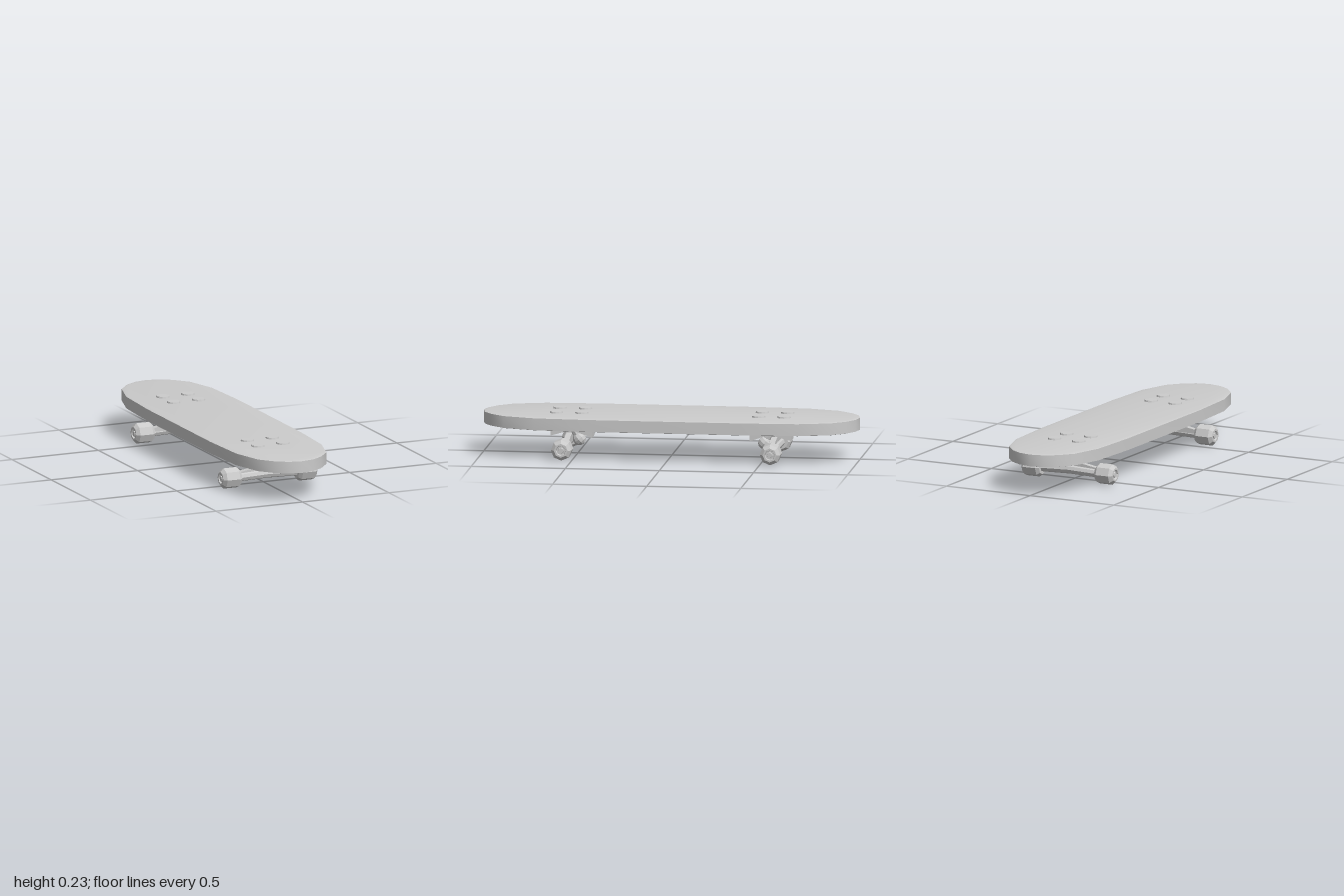
import * as THREE from 'three';
import { toCreasedNormals } from 'three/addons/utils/BufferGeometryUtils.js';

const smooth = new THREE.MeshStandardMaterial({ color: 0xcccccc });
const flat = new THREE.MeshStandardMaterial({ color: 0xcccccc, flatShading: true });

function add(parent, name, geometry, material = flat) {
  const mesh = new THREE.Mesh(geometry, material);
  mesh.name = name;
  parent.add(mesh);
  return mesh;
}

const polygon = (points) => new THREE.Shape(points.map(([x, y]) => new THREE.Vector2(x, y)));

// Flat board with rounded ends and a shallow bevel on both rims
function deckGeometry() {
  const quarter = [[0.262, 0.4], [0.247, 0.7], [0.197, 0.87], [0.133, 0.945], [0.07, 0.985]];
  const back = quarter.slice().reverse();
  const outline = [
    ...quarter, [0, 1],
    ...back.map(([x, z]) => [-x, z]),
    ...quarter.map(([x, z]) => [-x, -z]), [0, -1],
    ...back.map(([x, z]) => [x, -z]),
  ];
  const geo = new THREE.ExtrudeGeometry(polygon(outline), {
    depth: 0.063, bevelEnabled: true, bevelThickness: 0.003,
    bevelSize: 0.012, bevelOffset: -0.012, bevelSegments: 1,
  });
  geo.rotateX(Math.PI / 2).translate(0, 0.221, 0);
  return toCreasedNormals(geo, 0.6);
}

// Octagonal wheel with bevelled rims and a recessed hub, axis along x
function wheelGeometry() {
  const profile = [
    [0, -0.054], [0.041, -0.054], [0.055, -0.037], [0.055, 0.037],
    [0.037, 0.054], [0.027, 0.054], [0.024, 0.044], [0.016, 0.044], [0.014, 0.053], [0, 0.053],
  ].map(([r, x]) => new THREE.Vector2(r, x));
  return new THREE.LatheGeometry(profile, 8).rotateZ(-Math.PI / 2);
}

// Axle with eight sides that arches up and thickens in the middle
function axleGeometry() {
  const geo = new THREE.CylinderGeometry(0.023, 0.023, 0.34, 8, 2).rotateZ(Math.PI / 2);
  const p = geo.attributes.position;
  for (let i = 0; i < p.count; i++) {
    const middle = 1 - Math.abs(p.getX(i)) / 0.17;
    p.setY(i, p.getY(i) * (1 + 0.07 * middle) + 0.053 + 0.006 * middle);
  }
  return geo;
}

// Truck built around z = 0, with its inner side facing -z
function createTruck() {
  const truck = new THREE.Group();

  add(truck, 'basePlate', new THREE.BoxGeometry(0.262, 0.022, 0.26)).position.set(0, 0.147, -0.03);

  // Notched block under the plate
  const block = new THREE.ExtrudeGeometry(
    polygon([[-0.085, 0.14], [-0.085, 0.097], [0.025, 0.13], [0.137, 0.09], [0.137, 0.14]]),
    { depth: 0.102, bevelEnabled: false });
  block.rotateY(Math.PI / 2).translate(-0.051, 0, 0);
  add(truck, 'mountBlock', block);

  // Triangular web rising from the axle towards the mount
  const web = new THREE.ExtrudeGeometry(
    polygon([[-0.165, 0.06], [0.165, 0.06], [0.165, 0.08], [0.05, 0.1], [0, 0.108], [-0.05, 0.1], [-0.165, 0.08]]),
    { depth: 0.03, bevelEnabled: false });
  add(truck, 'hangerWeb', web.translate(0, 0, -0.025));

  add(truck, 'axle', axleGeometry());

  // Tilted bushing with a rounded foot
  const bushing = add(truck, 'bushing', new THREE.SphereGeometry(0.035, 10, 6));
  bushing.position.set(0, 0.076, -0.063);
  bushing.rotation.x = 0.7;
  const pin = add(truck, 'kingpin', new THREE.CylinderGeometry(0.02, 0.02, 0.06, 8));
  pin.position.set(0, 0.108, -0.045);
  pin.rotation.x = 0.5;

  for (const side of [1, -1]) {
    const wheel = add(truck, side > 0 ? 'leftWheel' : 'rightWheel', wheelGeometry());
    wheel.position.set(side * 0.218, 0.055, 0);
    if (side < 0) wheel.rotation.y = Math.PI;
  }
  return truck;
}

export function createModel() {
  const model = new THREE.Group();
  model.name = 'skateboard';
  add(model, 'deck', deckGeometry(), smooth);

  for (const end of [1, -1]) {
    const truck = createTruck();
    truck.name = end > 0 ? 'frontTruck' : 'rearTruck';
    truck.position.z = end * 0.555;
    if (end < 0) truck.rotation.y = Math.PI;
    model.add(truck);

    // Four flat bolt heads above each truck
    for (const x of [-0.078, 0.066]) {
      for (const z of [0.47, 0.605]) {
        add(model, 'boltHead', new THREE.CylinderGeometry(0.034, 0.037, 0.012, 12))
          .position.set(x, 0.226, end * z);
      }
    }
  }
  return model;
}
